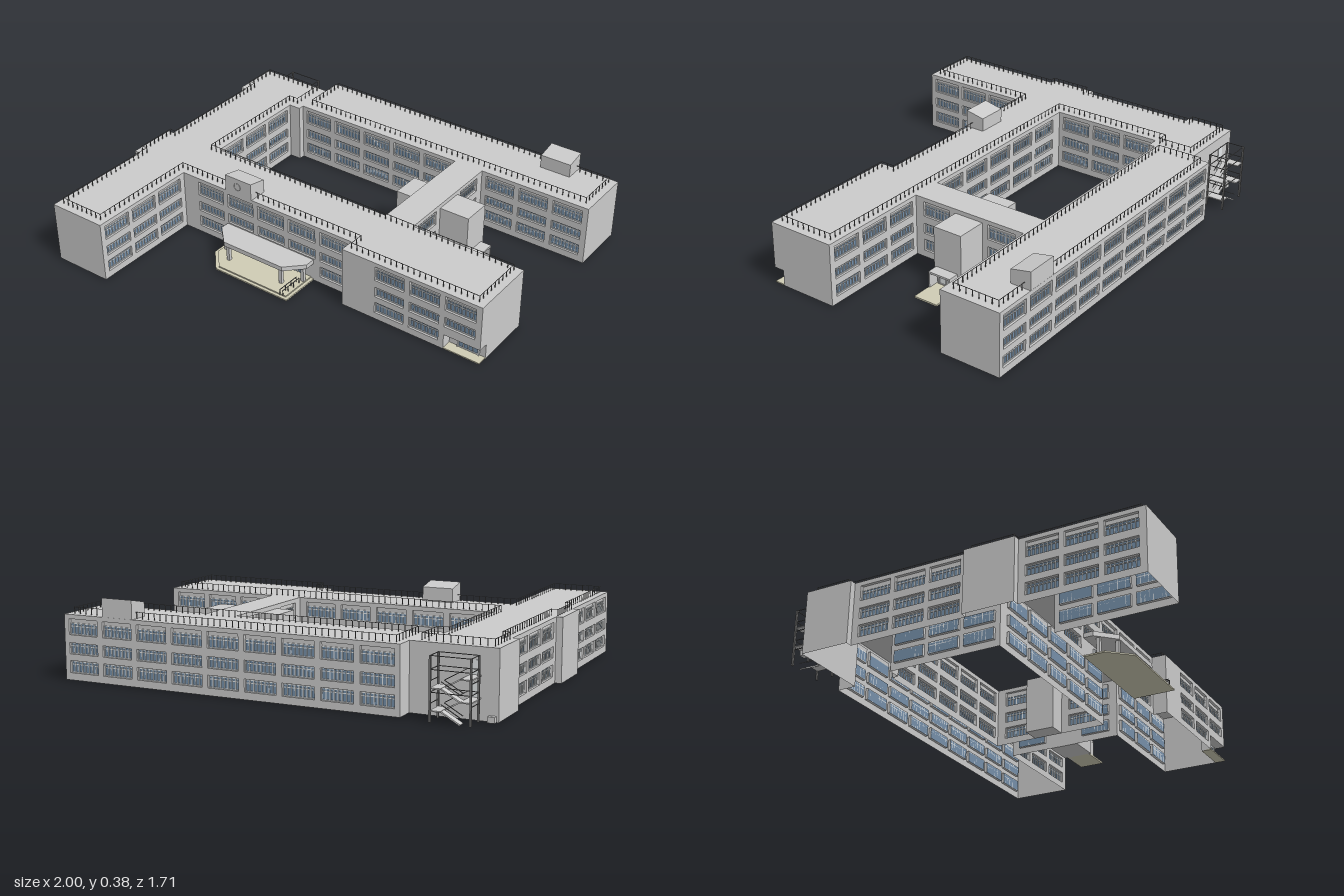
import * as THREE from 'three';
import { mergeGeometries } from 'three/addons/utils/BufferGeometryUtils.js';

const mat = color => new THREE.MeshStandardMaterial({ color, side: THREE.DoubleSide });
const GREY = mat(0xcccccc), GLASS = mat(0x7690aa), FRAME = mat(0xe4e8ea), STONE = mat(0xcfccb4), METAL = mat(0x777777);
const ROOF = 0.295, DEPTH = 0.014, PORCH = 0.075;
// window rows: bottom and top of each opening
const FLOORS = [[0.033, 0.088], [0.118, 0.168], [0.204, 0.275]];

const box = (w, h, d, x, y, z) => new THREE.BoxGeometry(w, h, d).translate(x, y, z);
function mesh(name, geos, material) {
  const list = [].concat(geos).map(g => (g.index ? g.toNonIndexed() : g));
  const m = new THREE.Mesh(mergeGeometries(list), material);
  m.name = name;
  return m;
}
const V = (x, y, z) => new THREE.Vector3(x, y, z);
const points = list => list.map(([x, y]) => new THREE.Vector2(x, y));

// thin bar between two points
function bar(a, b, t = 0.004, wide = t) {
  const d = new THREE.Vector3().subVectors(b, a);
  const m = new THREE.Matrix4().lookAt(b, a, V(0, 1, 0));
  m.setPosition(a.clone().add(b).multiplyScalar(0.5));
  return new THREE.BoxGeometry(wide, t, d.length()).applyMatrix4(m);
}

// four inward-facing sides of a window opening
function reveal(w, h) {
  const g = new THREE.BoxGeometry(w, h, DEPTH);
  g.setIndex(Array.from(g.index.array).slice(0, 24).reverse());
  const n = g.attributes.normal;
  for (let i = 0; i < n.count; i++) n.setXYZ(i, -n.getX(i), -n.getY(i), -n.getZ(i));
  return g;
}

// glass set at z, with glazing bars in front
function glazing(w, y0, y1, x, z, panes, glass, frames) {
  const h = y1 - y0, y = (y0 + y1) / 2, t = 0.0035;
  glass.push(new THREE.PlaneGeometry(w, h).translate(x, y, z));
  for (let i = 0; i <= panes; i++) frames.push(box(t, h, 0.004, x + (i / panes - 0.5) * (w - t), y, z + 0.002));
  for (const fy of [y0 + t / 2, y0 + h * 0.72, y1 - t / 2]) frames.push(box(w, t, 0.004, x, fy, z + 0.002));
}

// one outer wall running from a to b, its outside on the right of travel seen from above;
// bays: list of [centre, width] along the wall; skip: 'bay:floor' left blank;
// cut: lengths left open at ground level at the start and end
function wall(name, a, b, bays = [], skip = [], [s, e] = [0, 0]) {
  const L = Math.hypot(b[0] - a[0], b[1] - a[1]);
  const shape = new THREE.Shape(points([[s, 0], [L - e, 0], [L - e, PORCH], [L, PORCH], [L, ROOF], [0, ROOF], [0, PORCH], [s, PORCH]]));
  const solid = [], glass = [], frames = [];
  bays.forEach(([c, w], i) => FLOORS.forEach(([y0, y1], f) => {
    if (skip.includes(i + ':' + f)) return;
    const x0 = c - w / 2, x1 = c + w / 2, top = Math.min(y1, y0 + 0.052);
    shape.holes.push(new THREE.Path(points([[x0, y0], [x0, y1], [x1, y1], [x1, y0]])));
    solid.push(reveal(w, y1 - y0).translate(c, (y0 + y1) / 2, -DEPTH / 2));
    glazing(w, y0, top, c, -DEPTH, 8, glass, frames);
    solid.push(new THREE.PlaneGeometry(w, y1 - top + 0.001).translate(c, (top + y1) / 2, -DEPTH));
  }));
  solid.push(new THREE.ShapeGeometry(shape));
  const g = new THREE.Group();
  g.name = name;
  g.add(mesh('wallSurface', solid, GREY));
  if (glass.length) g.add(mesh('windowGlass', glass, GLASS), mesh('windowFrames', frames, FRAME));
  g.position.set(a[0], 0, a[1]);
  g.rotation.y = -Math.atan2(b[1] - a[1], b[0] - a[0]);
  return g;
}
// n equal bays between two distances along a wall
const row = (n, s, e, w = 0.15) => Array.from({ length: n }, (_, i) => [s + (i + 0.5) * (e - s) / n, w]);

// each corner starts a wall: [x, z, bays, skipped openings, ground cuts]
const OUTER = [
  [-0.97, 0.855], [-0.68, 0.855, row(3, 0.015, 0.54)],
  [-0.68, 0.3, row(5, 0.075, 0.96), ['1:0', '2:0', '3:0']], [0.29, 0.3],
  [0.29, 0.37, row(3, 0.16, 0.695), ['2:0'], [0, 0.18]], [1, 0.37, [], [], [0.05, 0]],
  [1, 0.04, row(3, 0.015, 0.55)], [0.44, 0.04, [[0.115, 0.145], [0.465, 0.145]]],
  [0.44, -0.54, row(3, 0.01, 0.545)], [1, -0.54],
  [1, -0.83, row(9, 0.01, 1.61)], [-0.62, -0.83], [-0.62, -0.74], [-1, -0.74], [-1, -0.51],
  [-0.97, -0.51, row(3, 0.02, 0.54)], [-0.97, 0.05], [-1, 0.05], [-1, 0.29], [-0.97, 0.29, row(3, 0.02, 0.545)],
];
const COURT = [
  [-0.68, 0.04, row(3, 0.01, 0.54)], [-0.68, -0.51], [-0.62, -0.51],
  [-0.62, -0.54, row(5, 0.01, 0.9)], [0.29, -0.54, [[0.115, 0.145], [0.465, 0.145]]],
  [0.29, 0.04, row(5, 0.02, 0.93)],
];

// roof railing along a closed path: thin top rail on slim posts
function railing(name, pts) {
  const bars = [];
  pts.forEach(([x0, z0], i) => {
    const [x1, z1] = pts[(i + 1) % pts.length];
    bars.push(bar(V(x0, 0.324, z0), V(x1, 0.324, z1), 0.002));
    const n = Math.max(1, Math.round(Math.hypot(x1 - x0, z1 - z0) / 0.03));
    for (let k = 0; k < n; k++)
      bars.push(box(0.003, 0.03, 0.003, x0 + (x1 - x0) * k / n, ROOF + 0.015, z0 + (z1 - z0) * k / n));
  });
  return mesh(name, bars, METAL);
}

// horizontal slab from a plan outline
function slab(name, pts, y, h, material) {
  const g = new THREE.ExtrudeGeometry(new THREE.Shape(points(pts.map(([x, z]) => [x, -z]))), { depth: h, bevelEnabled: false });
  return mesh(name, g.rotateX(-Math.PI / 2).translate(0, y, 0), material);
}

// rooftop box with a sloping lid; dir is the side of the high edge
function roofHouse(name, x, z, w, d, dir) {
  const s = new THREE.Shape(points([[-d / 2, 0], [d / 2, 0], [d / 2, 0.085], [-d / 2, 0.065]]));
  const g = new THREE.ExtrudeGeometry(s, { depth: w, bevelEnabled: false }).translate(0, 0, -w / 2).rotateY(-Math.PI / 2);
  const m = mesh(name, g, GREY);
  m.position.set(x, ROOF, z);
  if (dir < 0) m.rotation.y = Math.PI;
  return m;
}

// glazed doors on a wall
function doors(name, x, z, w, h, angle, panes, pane = GLASS) {
  const glass = [], frames = [], g = new THREE.Group();
  glazing(w, 0.008, h, 0, 0.003, panes, glass, frames);
  for (const s of [-1, 1]) frames.push(box(0.005, h, 0.008, s * (w / 2 + 0.002), h / 2, 0.004));
  frames.push(box(w + 0.01, 0.005, 0.008, 0, h + 0.002, 0.004));
  g.add(mesh('doorGlass', glass, pane), mesh('doorFrames', frames, pane === FRAME ? GREY : FRAME));
  g.name = name;
  g.position.set(x, 0, z);
  g.rotation.y = angle;
  return g;
}

// outdoor escape stair: posts, rails, landings and crossing flights
function fireEscape() {
  const steel = [], treads = [], x0 = -0.925, x1 = -0.755, zo = -0.849, zi = -0.765;
  for (const x of [x0, x1]) for (const z of [zo, zi]) steel.push(box(0.008, 0.265, 0.008, x, 0.1325, z));
  for (const y of [0.265, 0.21, 0.12]) for (const z of [zo, zi]) steel.push(bar(V(x0, y, z), V(x1, y, z), 0.003));
  for (const y of [0.265, 0.21, 0.165, 0.12, 0.075]) for (const x of [x0, x1]) steel.push(bar(V(x, y, zo), V(x, y, zi), 0.003));
  const l = x0 + 0.045, r = x1 - 0.045, zm = (zo + zi) / 2;
  for (const y of [0.09, 0.18]) {
    treads.push(box(0.045, 0.005, 0.084, x0 + 0.022, y, zm), box(0.045, 0.005, 0.084, x1 - 0.022, y - 0.045, zm));
    for (const [ya, z] of [[y - 0.09, zo + 0.02], [y, zi - 0.02]]) {
      treads.push(bar(V(l, ya, z), V(r, y - 0.045, z), 0.006, 0.034));
      for (const s of [-0.017, 0.017]) steel.push(bar(V(l, ya + 0.03, z + s), V(r, y - 0.015, z + s), 0.003));
    }
    // link from the landing to the door on that floor
    treads.push(box(0.045, 0.005, 0.03, x0 + 0.022, y, -0.754));
  }
  const g = new THREE.Group();
  g.name = 'fireEscape';
  g.add(mesh('escapeFrame', steel, METAL), mesh('escapeFlights', treads, GREY));
  return g;
}

export function createModel() {
  const model = new THREE.Group();
  model.name = 'schoolBuilding';

  // walls
  for (const [label, pts] of [['outerWall', OUTER], ['courtyardWall', COURT]])
    pts.forEach((p, i) => model.add(wall(label + (i + 1), p, pts[(i + 1) % pts.length], p[2], p[3], p[4])));

  // flat roof with the courtyard cut out
  const plan = pts => points(pts.map(([x, z]) => [x, -z]));
  const roof = new THREE.Shape(plan(OUTER));
  roof.holes.push(new THREE.Path(plan(COURT)));
  model.add(mesh('roof', new THREE.ShapeGeometry(roof).rotateX(-Math.PI / 2).translate(0, ROOF, 0), GREY));

  // roof railings and rooftop boxes
  model.add(railing('backRailing', [[-0.59, -0.8], [0.965, -0.8], [0.965, -0.58], [-0.59, -0.58]]));
  model.add(railing('mainRailing', [
    [0.965, 0.065], [0.965, 0.34], [0.32, 0.34], [0.32, 0.27], [-0.71, 0.27], [-0.71, 0.82], [-0.94, 0.82],
    [-0.94, 0.27], [-0.97, 0.27], [-0.97, 0.07], [-0.94, 0.07], [-0.94, -0.545], [-0.97, -0.545],
    [-0.97, -0.71], [-0.66, -0.71], [-0.66, -0.545], [-0.71, -0.545], [-0.71, 0.065]]));
  model.add(roofHouse('frontRoofHouse', -0.345, 0.256, 0.15, 0.095, 1));
  model.add(roofHouse('backRoofHouse', 0.72, -0.781, 0.155, 0.097, -1));
  model.add(mesh('wallClock', new THREE.TorusGeometry(0.018, 0.0015, 6, 24).translate(-0.35, 0.338, 0.304), GREY));

  // stair blocks on both sides of the link building, east one with a hooded door
  model.add(mesh('eastPorch', box(0.15, 0.275, 0.145, 0.515, 0.1375, -0.252), GREY));
  model.add(mesh('westPorch', box(0.09, 0.275, 0.145, 0.245, 0.1375, -0.256), GREY));
  model.add(doors('eastDoors', 0.59, -0.248, 0.08, 0.067, Math.PI / 2, 2, FRAME));
  const hood = [-1, 1].map(s => box(0.055, 0.076, 0.006, 0.617, 0.038, -0.248 + s * 0.054));
  model.add(mesh('eastDoorHood', [box(0.055, 0.009, 0.115, 0.617, 0.08, -0.248), ...hood], GREY));
  model.add(mesh('eastStep', box(0.15, 0.008, 0.12, 0.665, 0.004, -0.25), STONE));

  // main entrance: steps, canopy, columns, doors, ramp rails
  const base = s => [[-0.42 + s, 0.3], [-0.42 + s, 0.4 - s * 0.4], [-0.33 + s * 0.4, 0.5 - s], [0.08 - s, 0.5 - s], [0.08 - s, 0.3]];
  model.add(slab('entranceStep', base(0), 0, 0.007, STONE));
  model.add(slab('entrancePlatform', base(0.015), 0.007, 0.006, STONE));
  model.add(slab('canopy', [[-0.42, 0.3], [-0.42, 0.345], [-0.335, 0.43], [0, 0.43], [0.08, 0.35], [0.08, 0.3]], 0.09, 0.022, GREY));
  const columns = [[-0.385, 0.355], [-0.32, 0.415], [-0.015, 0.415], [0.055, 0.345]].map(([x, z]) => box(0.016, 0.08, 0.016, x, 0.053, z));
  model.add(mesh('canopyColumns', columns, GREY));
  for (const x of [-0.275, -0.155, -0.035]) model.add(doors('mainDoors', x, 0.3, 0.1, 0.07, 0, 5));
  const rails = [];
  for (const x of [0.037, 0.052]) {
    rails.push(bar(V(x, 0.04, 0.37), V(x, 0.04, 0.49), 0.003));
    for (let i = 0; i < 4; i++) rails.push(box(0.003, 0.03, 0.003, x, 0.026, 0.372 + i * 0.039));
  }
  model.add(mesh('rampRails', rails, METAL));

  // open corner porch with side entrance
  model.add(mesh('cornerPorch', [
    new THREE.PlaneGeometry(0.18, PORCH).translate(0.91, PORCH / 2, 0.32),
    new THREE.PlaneGeometry(0.05, PORCH).rotateY(Math.PI / 2).translate(0.82, PORCH / 2, 0.345),
    new THREE.PlaneGeometry(0.18, 0.05).rotateX(Math.PI / 2).translate(0.91, PORCH, 0.345)], GREY));
  model.add(mesh('cornerPorchFloor', box(0.18, 0.006, 0.05, 0.91, 0.003, 0.345), STONE));
  model.add(doors('sideDoors', 0.917, 0.32, 0.1, 0.065, 0, 4));

  // escape stair, its doors and a low wall beside it
  model.add(fireEscape());
  for (const y of [0.092, 0.182])
    model.add(mesh('escapeDoor', box(0.035, 0.06, 0.004, -0.9, y + 0.03, -0.741), FRAME));
  model.add(mesh('lowWall', box(0.03, 0.025, 0.02, -0.975, 0.0125, -0.75), GREY));
  return model;
}
